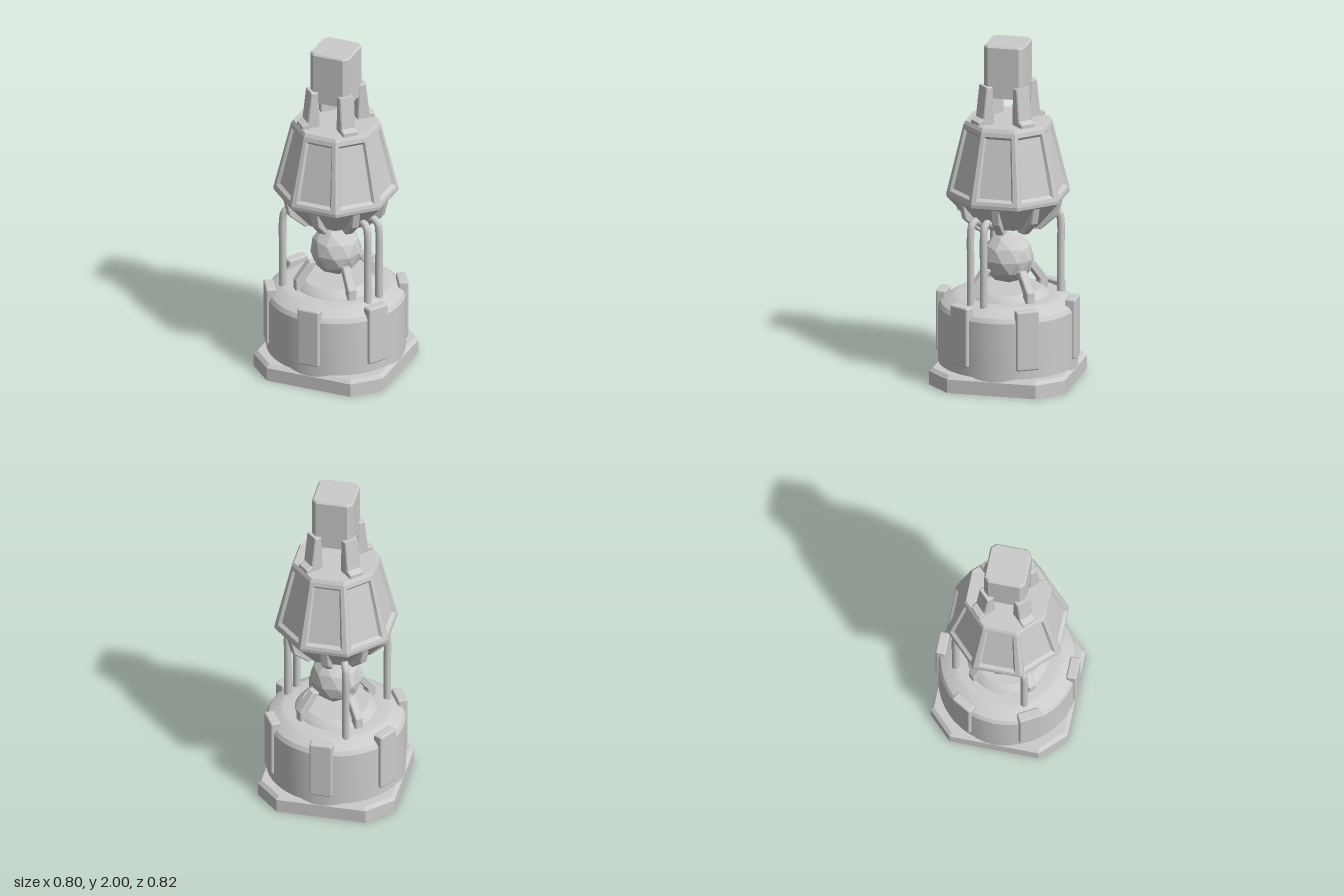
import * as THREE from 'three';
import { toCreasedNormals } from 'three/addons/utils/BufferGeometryUtils.js';
import { RoundedBoxGeometry } from 'three/addons/geometries/RoundedBoxGeometry.js';

const flat = new THREE.MeshStandardMaterial({ color: 0xcccccc, flatShading: true });
const smooth = new THREE.MeshStandardMaterial({ color: 0xcccccc });
const open = new THREE.MeshStandardMaterial({ color: 0xcccccc, flatShading: true, side: THREE.DoubleSide });
const T = Math.tan(Math.PI / 8); // half side of a regular octagon per unit apothem

function quadGeometry(quads) {
  const pos = [];
  for (const [a, b, c, d] of quads) pos.push(...a, ...b, ...c, ...a, ...c, ...d);
  const g = new THREE.BufferGeometry();
  g.setAttribute('position', new THREE.Float32BufferAttribute(pos, 3));
  g.computeVertexNormals();
  return g;
}

// Loft through eight-sided rings given as [half width, half flat, y]
function octLoft(rings) {
  const loops = rings.map(([h, f, y]) =>
    [[-f, h], [f, h], [h, f], [h, -f], [f, -h], [-f, -h], [-h, -f], [-h, f]].map(([x, z]) => [x, y, z]));
  const quads = [];
  for (let i = 0; i + 1 < loops.length; i++)
    for (let j = 0; j < 8; j++) {
      const k = (j + 1) % 8;
      quads.push([loops[i][j], loops[i][k], loops[i + 1][k], loops[i + 1][j]]);
    }
  return quadGeometry(quads);
}
const regular = (profile) => octLoft(profile.map(([a, y]) => [a, a * T, y]));

// Upright plate whose outline is given as [radius, y]
function radialPlate(profile, width, bevel) {
  const shape = new THREE.Shape(profile.map(([r, y]) => new THREE.Vector2(r, y)));
  const depth = width - 2 * bevel;
  return new THREE.ExtrudeGeometry(shape, {
    depth, bevelEnabled: true, bevelSize: bevel, bevelOffset: -bevel, bevelThickness: bevel, bevelSegments: 1,
  }).translate(0, 0, -depth / 2);
}

// One side of the head: a frame around a recessed panel
function headPanel() {
  const p = (u, v, d) => {
    const a = THREE.MathUtils.lerp(0.33, 0.237, v);
    return [u * a * T, THREE.MathUtils.lerp(1.11, 1.52, v), a - d];
  };
  const loop = (u, v0, v1, d) => [p(-u, v0, d), p(u, v0, d), p(u, v1, d), p(-u, v1, d)];
  const loops = [loop(1, 0, 1, 0), loop(0.8, 0.05, 0.94, 0), loop(0.7, 0.085, 0.9, 0.016)];
  const quads = [loops[2]];
  for (let i = 0; i < 2; i++)
    for (let j = 0; j < 4; j++) {
      const k = (j + 1) % 4;
      quads.push([loops[i][j], loops[i][k], loops[i + 1][k], loops[i + 1][j]]);
    }
  return quadGeometry(quads);
}

export function createModel() {
  const model = new THREE.Group();
  const add = (name, geometry, material = flat, angle = 0) => {
    const mesh = new THREE.Mesh(geometry, material);
    mesh.name = name;
    mesh.rotation.y = angle;
    model.add(mesh);
    return mesh;
  };
  const around = (name, count, start, geometry, material) => {
    for (let i = 0; i < count; i++)
      add(name, geometry, material, start + (i * 2 * Math.PI) / count);
  };

  // Hollow base plate, open underneath
  add('basePlate', octLoft([[0.4, 0.26, 0], [0.4, 0.26, 0.08], [0.38, 0.252, 0.1], [0, 0, 0.1]]), open);

  // Round drum with sloped shoulder and raised centre
  const drum = [[0, 0.08], [0.399, 0.08], [0.399, 0.43], [0.385, 0.455], [0.32, 0.495], [0.3, 0.5],
    [0.235, 0.5], [0.225, 0.515], [0.19, 0.54], [0, 0.54]];
  add('drum', toCreasedNormals(
    new THREE.LatheGeometry(drum.map(([r, y]) => new THREE.Vector2(r, y)), 48), 0.45), smooth);

  // Six clamps around the drum
  around('drumClamp', 6, 0,
    new RoundedBoxGeometry(0.135, 0.355, 0.06, 2, 0.012).translate(0, 0.328, 0.381), smooth);

  // Faceted core held by four arms
  const core = new THREE.IcosahedronGeometry(0.15, 1).rotateX(-Math.atan((1 + Math.sqrt(5)) / 2));
  add('core', core.translate(0, 0.713, 0));
  around('coreArm', 4, Math.PI / 4, radialPlate(
    [[0.2, 0.49], [0.255, 0.49], [0.255, 0.56], [0.17, 0.67], [0.12, 0.66], [0.2, 0.55]], 0.05, 0.006));

  // Bent pipes from the drum up to the head
  const bend = new THREE.CatmullRomCurve3([[0.305, 0.46], [0.305, 0.7], [0.305, 0.92], [0.295, 0.965],
    [0.265, 0.985], [0.235, 0.97], [0.18, 0.94]].map(([r, y]) => new THREE.Vector3(r, y, 0)));
  const pipe = new THREE.TubeGeometry(bend, 48, 0.022, 12);
  for (const [x, z] of [[-0.27, 0.15], [-0.12, -0.28], [0.26, 0.153], [0.297, 0.07]])
    add('pipe', pipe, smooth, -Math.atan2(z, x));

  // Eight-sided head: underside, panels, roof
  add('headUnderside', regular([[0, 0.93], [0.19, 0.93], [0.318, 1.08], [0.328, 1.09], [0.33, 1.11]]));
  around('headPanel', 8, 0, headPanel());
  add('headRoof', regular([[0.237, 1.52], [0.226, 1.54], [0, 1.54]]));
  around('headRib', 8, 0, radialPlate(
    [[0.14, 0.9], [0.2, 0.9], [0.295, 0.985], [0.318, 1.08], [0.27, 1.08], [0.14, 0.96]], 0.046, 0.005));

  // Four brackets carrying the top block
  around('topBracket', 4, Math.PI / 4, radialPlate(
    [[0.115, 1.535], [0.225, 1.535], [0.225, 1.56], [0.19, 1.575], [0.168, 1.76], [0.125, 1.76]], 0.09, 0.006));
  add('topBlock', octLoft([[0, 0, 1.69], [0.12, 0.092, 1.69], [0.12, 0.092, 1.99],
    [0.112, 0.087, 2], [0, 0, 2]]));

  return model;
}
